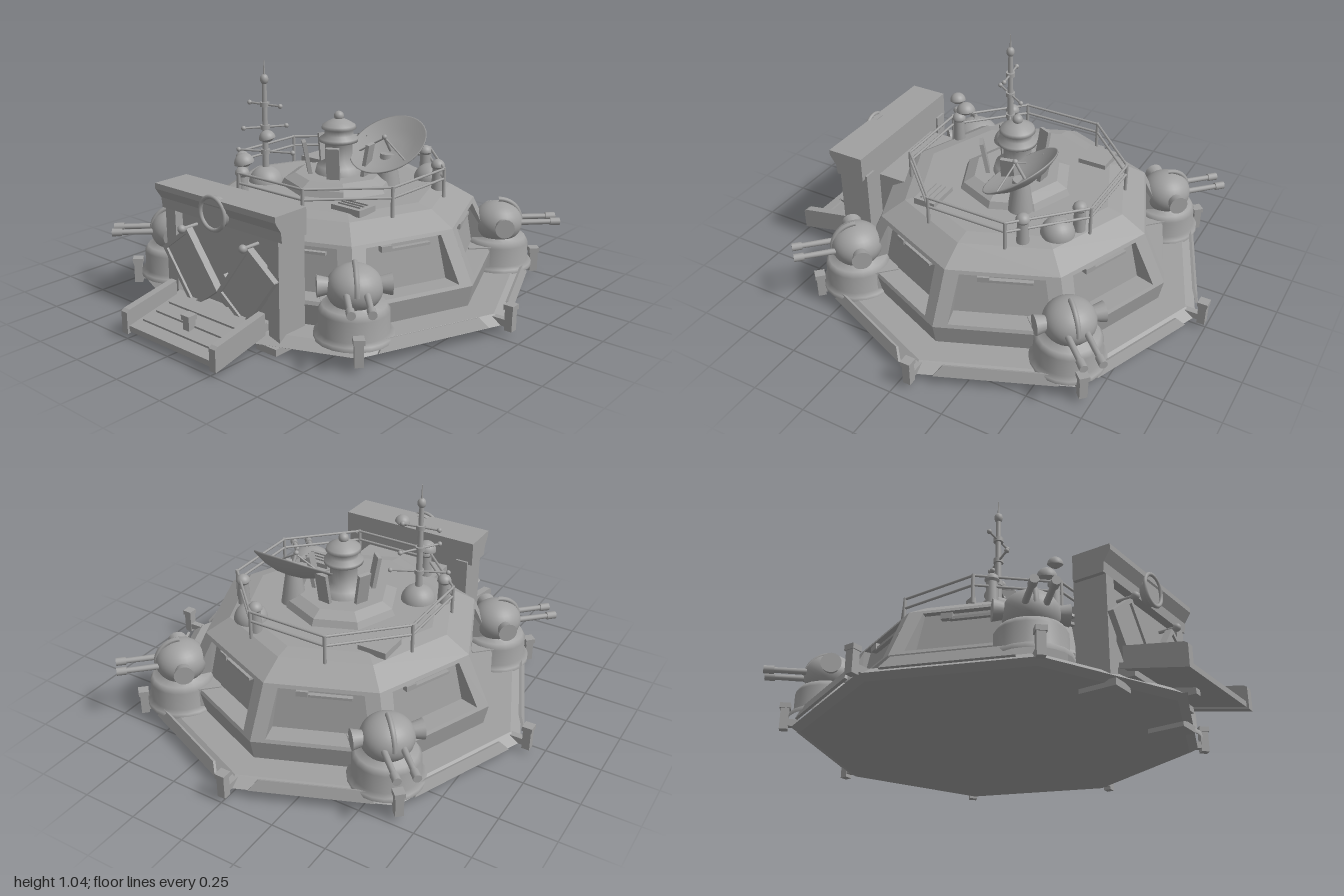
import * as THREE from 'three';

const CZ = -0.05; // centre of the octagon
const STEP = Math.PI / 4;
const steel = new THREE.MeshStandardMaterial({ color: 0xa0a0a0 });
steel.name = 'steelGrey';

function add(parent, name, geo, x = 0, y = 0, z = 0, rx = 0, ry = 0, rz = 0) {
  const m = new THREE.Mesh(geo, steel);
  m.name = name;
  m.position.set(x, y, z);
  m.rotation.set(rx, ry, rz);
  parent.add(m);
  return m;
}
function group(parent, name, x = 0, y = 0, z = 0, ry = 0) {
  const g = new THREE.Group();
  g.name = name;
  g.position.set(x, y, z);
  g.rotation.y = ry;
  parent.add(g);
  return g;
}
function flat(geo) {
  const g = geo.index ? geo.toNonIndexed() : geo;
  g.computeVertexNormals();
  return g;
}
const box = (w, h, d) => new THREE.BoxGeometry(w, h, d);
const cyl = (r1, r2, h, n = 16) => new THREE.CylinderGeometry(r1, r2, h, n);
const ball = (r) => new THREE.SphereGeometry(r, 20, 14);
const dome = (r) => new THREE.SphereGeometry(r, 24, 10, 0, Math.PI * 2, 0, Math.PI / 2);
const lathe = (pts, n) => new THREE.LatheGeometry(pts.map((p) => new THREE.Vector2(p[0], p[1])), n);
const octo = (pts) => flat(lathe(pts, 8));

// Side profile in (z, y), extruded across x
function extrudeX(pts, width) {
  const s = new THREE.Shape(pts.map((p) => new THREE.Vector2(p[0], p[1])));
  const g = new THREE.ExtrudeGeometry(s, { depth: width, bevelEnabled: false });
  return g.rotateY(-Math.PI / 2).translate(width / 2, 0, 0);
}
// Round bar between two points
function bar(parent, name, a, b, r) {
  const p = new THREE.Vector3(...a), q = new THREE.Vector3(...b);
  const m = add(parent, name, cyl(r, r, p.distanceTo(q), 8));
  m.position.copy(p).add(q).multiplyScalar(0.5);
  m.quaternion.setFromUnitVectors(new THREE.Vector3(0, 1, 0), q.sub(p).normalize());
  return m;
}
// Sloping wall with a recessed bay, made from rings of four corners
function bayWall() {
  const at = (y) => 0.684 - ((y - 0.17) / 0.23) * 0.102;
  const ring = (yB, hB, dB, yT, hT, dT) => [
    [-hB, yB, at(yB) - dB], [hB, yB, at(yB) - dB], [hT, yT, at(yT) - dT], [-hT, yT, at(yT) - dT]];
  const rings = [ring(0.17, 0.283, 0, 0.4, 0.241, 0), ring(0.185, 0.22, 0, 0.385, 0.18, 0),
    ring(0.185, 0.21, 0.09, 0.385, 0.18, 0.03)];
  const v = [];
  const quad = (a, b, c, d) => v.push(...a, ...b, ...c, ...a, ...c, ...d);
  for (let k = 0; k < 2; k++) {
    for (let i = 0; i < 4; i++) {
      const j = (i + 1) % 4;
      quad(rings[k][i], rings[k][j], rings[k + 1][j], rings[k + 1][i]);
    }
  }
  quad(...rings[2]);
  const g = new THREE.BufferGeometry();
  g.setAttribute('position', new THREE.Float32BufferAttribute(v, 3));
  g.computeVertexNormals();
  return g;
}

function buildHull(root) {
  const hull = group(root, 'hull', 0, 0, CZ);
  add(hull, 'baseSlab', octo([[0, 0.02], [0.86, 0.02], [0.9, 0.04], [0.85, 0.075], [0, 0.075]]));
  add(hull, 'lowerWall', octo([[0.72, 0.07], [0.74, 0.17]]));
  add(hull, 'roof', octo([[0.63, 0.4], [0.52, 0.465], [0.45, 0.48], [0, 0.48]]));
  const wall = bayWall();
  const skirt = new THREE.ExtrudeGeometry(new THREE.Shape([[-0.26, 0], [0.26, 0], [0.22, 0.05], [-0.22, 0.05]]
    .map((p) => new THREE.Vector2(...p))), { depth: 0.012, bevelEnabled: false });
  for (let k = 0; k < 8; k++) {
    const side = group(hull, 'side', 0, 0, 0, (k + 0.5) * STEP);
    add(side, 'bayWall', wall);
    if (k > 0 && k < 7) add(side, 'skirtPlate', skirt, 0, 0.045, 0.835, -0.35);
    add(side, 'baySlit', box(0.2, 0.012, 0.02), 0.03, 0.355, 0.575);
    add(side, 'bayLatch', box(0.05, 0.025, 0.03), -0.08, 0.365, 0.575);
    // Bollard on every corner
    const post = group(hull, 'cornerPost', 0, 0, 0, k * STEP);
    add(post, 'postBody', box(0.036, 0.1, 0.036), 0, 0.075, 0.93);
    add(post, 'postCap', box(0.046, 0.022, 0.046), 0, 0.13, 0.93);
    add(post, 'postBracket', box(0.03, 0.03, 0.08), 0, 0.055, 0.88);
  }
}

function buildTurret(root, angle) {
  const s = Math.sin(angle), c = Math.cos(angle);
  const t = group(root, 'gunTurret', 0.75 * s, 0, CZ + 0.75 * c, angle);
  add(t, 'turretBase', lathe([[0.165, 0.07], [0.165, 0.09], [0.145, 0.1], [0.145, 0.185], [0.13, 0.21], [0.09, 0.215],
    [0.09, 0.25], [0, 0.25]], 20));
  add(t, 'turretPlinth', box(0.26, 0.12, 0.2), 0, 0.13, -0.06);
  add(t, 'turretDome', new THREE.SphereGeometry(0.115, 28, 18), 0, 0.275, 0).scale.y = 0.85;
  add(t, 'domeRib', new THREE.TorusGeometry(0.108, 0.012, 6, 16, Math.PI / 2), 0, 0.275, 0, 0, -Math.PI / 2);
  for (const m of [-1, 1]) {
    add(t, 'sideMount', cyl(0.045, 0.03, 0.06), m * 0.12, 0.285, 0, 0, 0, -m * Math.PI / 2);
    add(t, 'gunBarrel', cyl(0.012, 0.014, 0.2, 12), m * 0.04, 0.28, 0.17, Math.PI / 2);
    add(t, 'gunMuzzle', cyl(0.018, 0.018, 0.045, 12), m * 0.04, 0.28, 0.262, Math.PI / 2);
  }
}

function buildDeck(root) {
  const deck = group(root, 'deck');
  // Railing
  const corner = (k, y) => [0.49 * Math.sin((k + 0.5) * STEP), y, CZ + 0.49 * Math.cos((k + 0.5) * STEP)];
  for (let k = 0; k < 8; k++) {
    bar(deck, 'railPost', corner(k, 0.46), corner(k, 0.595), 0.008);
    for (const y of [0.545, 0.59]) bar(deck, 'rail', corner(k, y), corner(k + 1, y), 0.006);
  }
  // Central tower with leaning fins
  const tower = group(deck, 'tower', 0, 0, CZ);
  add(tower, 'platform', octo([[0.27, 0.47], [0.25, 0.51], [0.2, 0.535], [0, 0.535]]));
  add(tower, 'towerBody', lathe([[0.11, 0.53], [0.1, 0.57], [0.062, 0.59], [0.062, 0.67], [0.088, 0.68], [0.088, 0.695],
    [0.066, 0.71], [0.066, 0.735], [0.08, 0.74], [0.075, 0.755], [0.05, 0.77], [0.02, 0.785], [0, 0.785]], 28));
  add(tower, 'towerTip', ball(0.023), 0, 0.795, 0);
  for (let k = 0; k < 5; k++) {
    const f = group(tower, 'finMount', 0, 0, 0, (k * 72 + 30) * Math.PI / 180);
    add(f, 'fin', box(0.06, 0.17, 0.018), 0, 0.6, 0.145, 0.18);
  }
  // Dish, hollow side facing forward and up
  const dish = group(deck, 'dish', 0.19, 0.66, -0.175);
  dish.rotation.x = 0.58;
  add(dish, 'dishBowl', lathe([[0, -0.045], [0.06, -0.04], [0.12, -0.022], [0.18, 0.01], [0.184, 0.018], [0.178, 0.018],
    [0.12, -0.008], [0.06, -0.022], [0, -0.026]], 36));
  bar(dish, 'dishFeed', [0, -0.03, 0], [0, 0.06, 0], 0.007);
  add(dish, 'dishFeedTip', ball(0.012), 0, 0.06, 0);
  for (const m of [-1, 1]) bar(dish, 'dishStrut', [m * 0.13, 0, 0.06], [0, 0.055, 0], 0.004);
  add(deck, 'dishStand', cyl(0.035, 0.06, 0.16), 0.19, 0.55, -0.17);
  // Vents and domes
  for (const [x, z] of [[0.195, -0.455], [0.385, -0.285], [-0.195, 0.375], [-0.385, 0.185]]) {
    add(deck, 'ventPipe', cyl(0.024, 0.028, 0.11), x, 0.525, z);
    add(deck, 'ventCap', dome(0.032), x, 0.58, z);
    add(deck, 'ventCapUnderside', cyl(0.032, 0.024, 0.012), x, 0.575, z);
  }
  add(deck, 'roofDome', dome(0.075), 0.27, 0.475, -0.39);
  for (const [x, y, z, r] of [[-0.21, 0.62, 0.345, 0.045], [-0.095, 0.745, 0.315, 0.036]]) {
    const cap = group(deck, 'sensorCap', x, y, z);
    cap.rotation.set(0.15, 0, 0.15);
    add(cap, 'capTop', dome(r));
    add(cap, 'capUnderside', cyl(r, r * 0.45, 0.014, 24), 0, -0.007, 0);
  }
  // Hatches
  add(deck, 'plainHatch', box(0.135, 0.03, 0.135), -0.33, 0.487, -0.3);
  add(deck, 'louvredHatch', box(0.155, 0.03, 0.105), 0.3, 0.487, 0.21);
  for (const d of [-0.025, 0, 0.025]) add(deck, 'louvre', box(0.12, 0.008, 0.008), 0.3, 0.505, 0.21 + d);
  // Antenna mast
  const mast = group(deck, 'mast', -0.28, 0, 0.14);
  add(mast, 'mastFoot', dome(0.08), 0, 0.47, 0);
  add(mast, 'mastPole', cyl(0.01, 0.017, 0.47, 12), 0, 0.725, 0);
  add(mast, 'mastBall', ball(0.019), 0, 0.955, 0).scale.y = 1.25;
  add(mast, 'mastNeedle', cyl(0.002, 0.006, 0.09, 8), 0, 0.995, 0);
  for (const [y, len, a] of [[0.84, 0.085, 0.15], [0.735, 0.1, 1.0], [0.62, 0.13, 0.45]]) {
    const dx = len * Math.cos(a), dz = len * Math.sin(a);
    bar(mast, 'crossbar', [-dx, y, dz], [dx, y, -dz], 0.005);
    for (const m of [-1, 1]) add(mast, 'crossbarEnd', ball(0.011), m * dx, y, -m * dz);
    add(mast, 'mastCollar', cyl(0.022, 0.022, 0.02), 0, y, 0);
  }
}

function buildGate(root) {
  const gate = group(root, 'gatehouse');
  add(gate, 'gateBody', box(0.66, 0.41, 0.1), 0, 0.275, 0.61);
  add(gate, 'gateLink', box(0.44, 0.38, 0.24), 0, 0.25, 0.48);
  add(gate, 'gateHeader', extrudeX([[0.56, 0.475], [0.7, 0.475], [0.705, 0.52], [0.735, 0.565], [0.735, 0.59], [0.56, 0.59]], 0.7));
  add(gate, 'gateRing', new THREE.TorusGeometry(0.07, 0.009, 8, 32), 0, 0.53, 0.735);
  add(gate, 'gateRingBacking', cyl(0.066, 0.066, 0.03, 32), 0, 0.53, 0.715, Math.PI / 2);
  add(gate, 'gateSill', box(0.5, 0.05, 0.12), 0, 0.08, 0.7);
  add(gate, 'doorWedge', box(0.09, 0.09, 0.03), 0, 0.19, 0.67, 0, 0, Math.PI / 4);
  for (const m of [-1, 1]) {
    add(gate, 'gatePillar', box(0.06, 0.44, 0.15), m * 0.3, 0.27, 0.625);
    add(gate, 'gateFoot', box(0.11, 0.03, 0.165), m * 0.275, 0.015, 0.64);
    // Slanted door leaf with a raised frame
    const leaf = group(gate, 'doorLeaf', m * 0.165, 0.25, 0.705);
    leaf.rotation.z = -m * 0.64;
    add(leaf, 'leafPanel', box(0.18, 0.28, 0.02));
    for (const e of [-1, 1]) {
      add(leaf, 'leafSideFrame', box(0.018, 0.29, 0.034), e * 0.088, 0, 0.004);
      add(leaf, 'leafEndFrame', box(0.19, 0.018, 0.034), 0, e * 0.138, 0.004);
    }
    add(gate, 'doorLamp', ball(0.018), m * 0.18, 0.425, 0.745);
    bar(gate, 'lampArm', [m * 0.18, 0.425, 0.66], [m * 0.18, 0.425, 0.745], 0.008);
  }
  // Ramp
  const ramp = group(root, 'ramp');
  add(ramp, 'rampFloor', extrudeX([[0.7, 0.095], [0.99, 0.03], [0.99, 0.055], [0.7, 0.12]], 0.52));
  for (const m of [-1, 1]) {
    add(ramp, 'rampRail', extrudeX([[0.73, 0.08], [1, 0.02], [1, 0.115], [0.985, 0.125], [0.73, 0.175]], 0.035), m * 0.263);
  }
  for (const z of [0.79, 0.86, 0.93]) {
    add(ramp, 'rampTread', box(0.44, 0.02, 0.016), 0, 0.12 - (z - 0.7) * 0.224, z, 0.22);
  }
}

export function createModel() {
  const root = new THREE.Group();
  root.name = 'fortress';
  buildHull(root);
  for (const k of [1, 3, 5, 7]) buildTurret(root, k * STEP);
  buildDeck(root);
  buildGate(root);
  return root;
}
